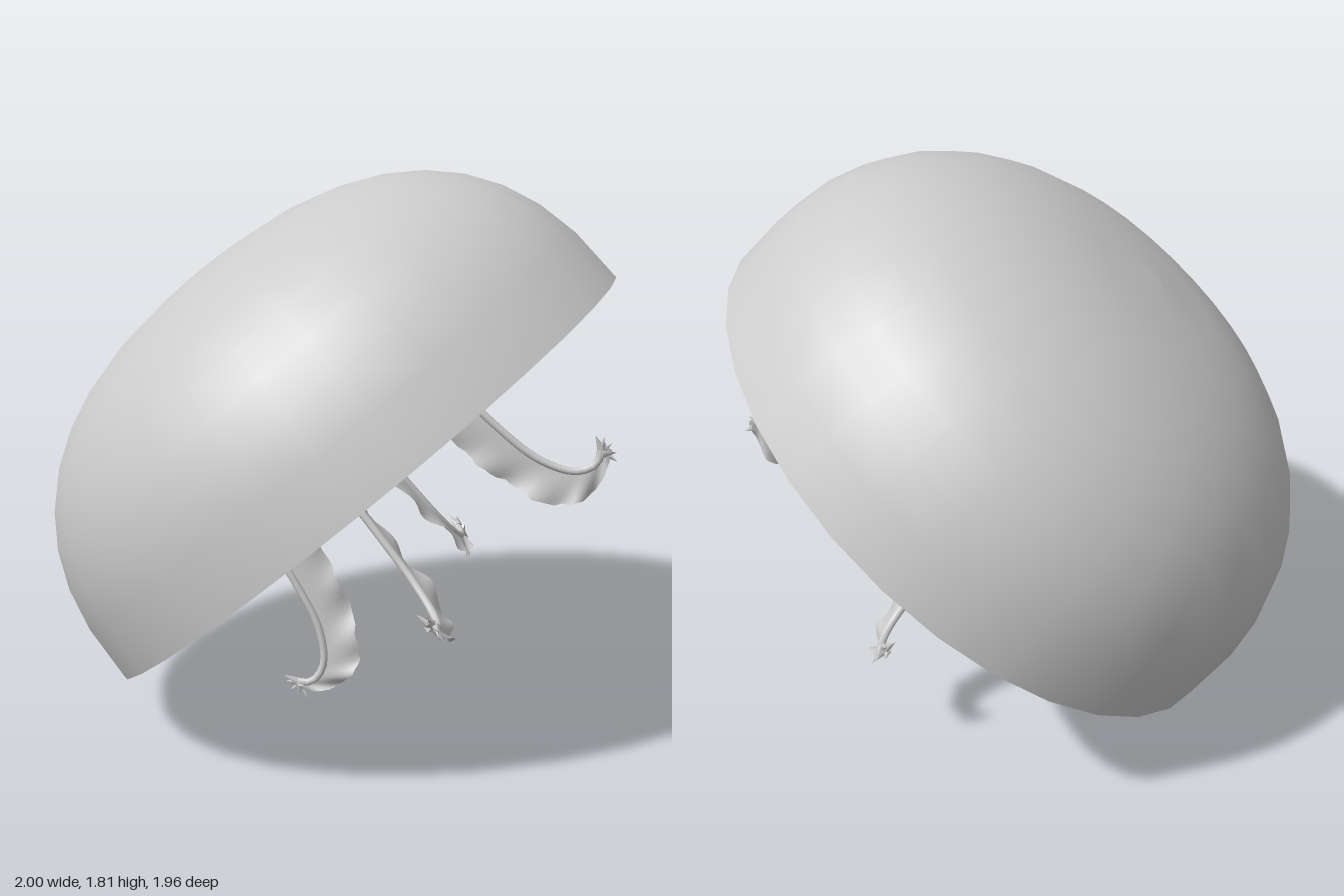
import * as THREE from 'three';
import { mergeVertices } from 'three/addons/utils/BufferGeometryUtils.js';

const flesh = new THREE.MeshStandardMaterial({ color: 0xcccccc, side: THREE.DoubleSide });
flesh.name = 'pale grey flesh';

const part = (geometry, name) => {
  const mesh = new THREE.Mesh(geometry, flesh);
  mesh.name = name;
  return mesh;
};

// Weld seams and recompute smooth normals after moving vertices
function smooth(geometry) {
  geometry.deleteAttribute('normal');
  geometry.deleteAttribute('uv');
  const welded = mergeVertices(geometry, 1e-4);
  welded.computeVertexNormals();
  return welded;
}

// Superellipse dome profile, rim to pole
function domeProfile(radius, height, power, startY, steps) {
  const points = [];
  const a0 = Math.asin(Math.pow(startY / height, power / 2));
  for (let i = 0; i <= steps; i++) {
    const a = a0 + (Math.PI / 2 - a0) * i / steps;
    const r = i === steps ? 0 : radius * Math.pow(Math.cos(a), 2 / power);
    points.push(new THREE.Vector2(r, height * Math.pow(Math.sin(a), 2 / power)));
  }
  return points;
}

// Outer bell
function bell() {
  return part(new THREE.LatheGeometry(domeProfile(1.045, 0.865, 2.45, 0, 10), 32), 'bell');
}

// Inner lining with an uneven lip hanging inside the rim
function lining() {
  const profile = domeProfile(0.975, 0.73, 2.2, 0.27, 14).reverse();
  profile.push(new THREE.Vector2(0.945, 0.235), new THREE.Vector2(0.96, 0.215),
    new THREE.Vector2(0.985, 0.215), new THREE.Vector2(1.005, 0.23));
  const geometry = new THREE.LatheGeometry(profile, 96);
  const pos = geometry.attributes.position;
  for (let i = 0; i < pos.count; i++) {
    const y = pos.getY(i);
    const r = Math.hypot(pos.getX(i), pos.getZ(i));
    if (y < 0.26 && r < 1.0) {
      const a = Math.atan2(pos.getZ(i), pos.getX(i));
      pos.setY(i, y + 0.006 * Math.sin(9 * a) + 0.005 * Math.sin(23 * a + 1));
    }
  }
  return part(smooth(geometry), 'innerLining');
}

const curve = (pairs) => new THREE.CatmullRomCurve3(pairs.map(([r, y]) => new THREE.Vector3(r, y, 0)));

// Arm outline in its radial plane, from the root to the curled tip
const outerEdge = curve([[0.12, 0.69], [0.29, 0.58], [0.375, 0.4], [0.405, 0.15], [0.44, -0.15],
  [0.48, -0.32], [0.55, -0.425], [0.62, -0.445], [0.675, -0.4]]);
const innerEdge = curve([[0.01, 0.5], [0.16, 0.46], [0.24, 0.36], [0.265, 0.1], [0.3, -0.15],
  [0.35, -0.33], [0.44, -0.485], [0.56, -0.515], [0.685, -0.445]]);

// Thin ribbon whose inner edge is gently ruffled
function ribbon(phase) {
  const rows = 56, cols = 6;
  const positions = [], index = [];
  for (let i = 0; i <= rows; i++) {
    const t = i / rows;
    const a = outerEdge.getPoint(t), b = innerEdge.getPoint(t);
    b.lerp(a, 0.03 * Math.sin(i * 0.8 + phase) + 0.03 * Math.sin(i * 2.3 + phase));
    for (let j = 0; j <= cols; j++) {
      const s = j / cols;
      const p = a.clone().lerp(b, s);
      const wave = 0.014 * s * s * Math.sin(i * 0.9 + phase) + 0.01 * s * Math.sin(i * 0.37 + phase);
      positions.push(p.x, p.y, wave);
      if (i < rows && j < cols) {
        const k = i * (cols + 1) + j, n = k + cols + 1;
        index.push(k, n, k + 1, k + 1, n, n + 1);
      }
    }
  }
  const geometry = new THREE.BufferGeometry();
  geometry.setAttribute('position', new THREE.Float32BufferAttribute(positions, 3));
  geometry.setIndex(index);
  geometry.computeVertexNormals();
  return part(geometry, 'armRibbon');
}

// Ribbon, thick cord on its outer edge, and a frayed tip
function arm(phase) {
  const group = new THREE.Group();
  group.name = 'mouthArm';
  group.add(ribbon(phase));
  group.add(part(new THREE.TubeGeometry(outerEdge, 48, 0.013, 8), 'armCord'));
  for (let i = 0; i < 5; i++) {
    const spike = part(new THREE.ConeGeometry(0.014, 0.05, 5), 'tipFringe');
    const a = -1.3 + i * 0.65;
    const lean = Math.sin(i * 2.4 + phase);
    spike.position.set(0.665 + 0.01 * Math.cos(a), -0.46 + i * 0.018, 0.012 * lean);
    spike.rotation.set(0.4 * lean, 0, a - Math.PI / 2);
    group.add(spike);
  }
  return group;
}

export function createModel() {
  const model = new THREE.Group();
  model.name = 'jellyfish';

  const body = new THREE.Group();
  body.name = 'body';
  body.add(bell(), lining());
  for (let i = 0; i < 4; i++) {
    const a = arm(i * 1.7);
    a.rotation.y = i * Math.PI / 2 + 0.06;
    body.add(a);
  }

  // Tilt the body along its swimming axis
  const up = new THREE.Vector3(-0.43, 0.761, -0.486).normalize();
  const side = new THREE.Vector3(1, 0, -1).normalize();
  side.addScaledVector(up, -side.dot(up)).normalize();
  const front = new THREE.Vector3().crossVectors(side, up);
  body.quaternion.setFromRotationMatrix(new THREE.Matrix4().makeBasis(side, up, front));
  body.position.set(0.055, 0.803, 0.065);
  model.add(body);
  return model;
}
